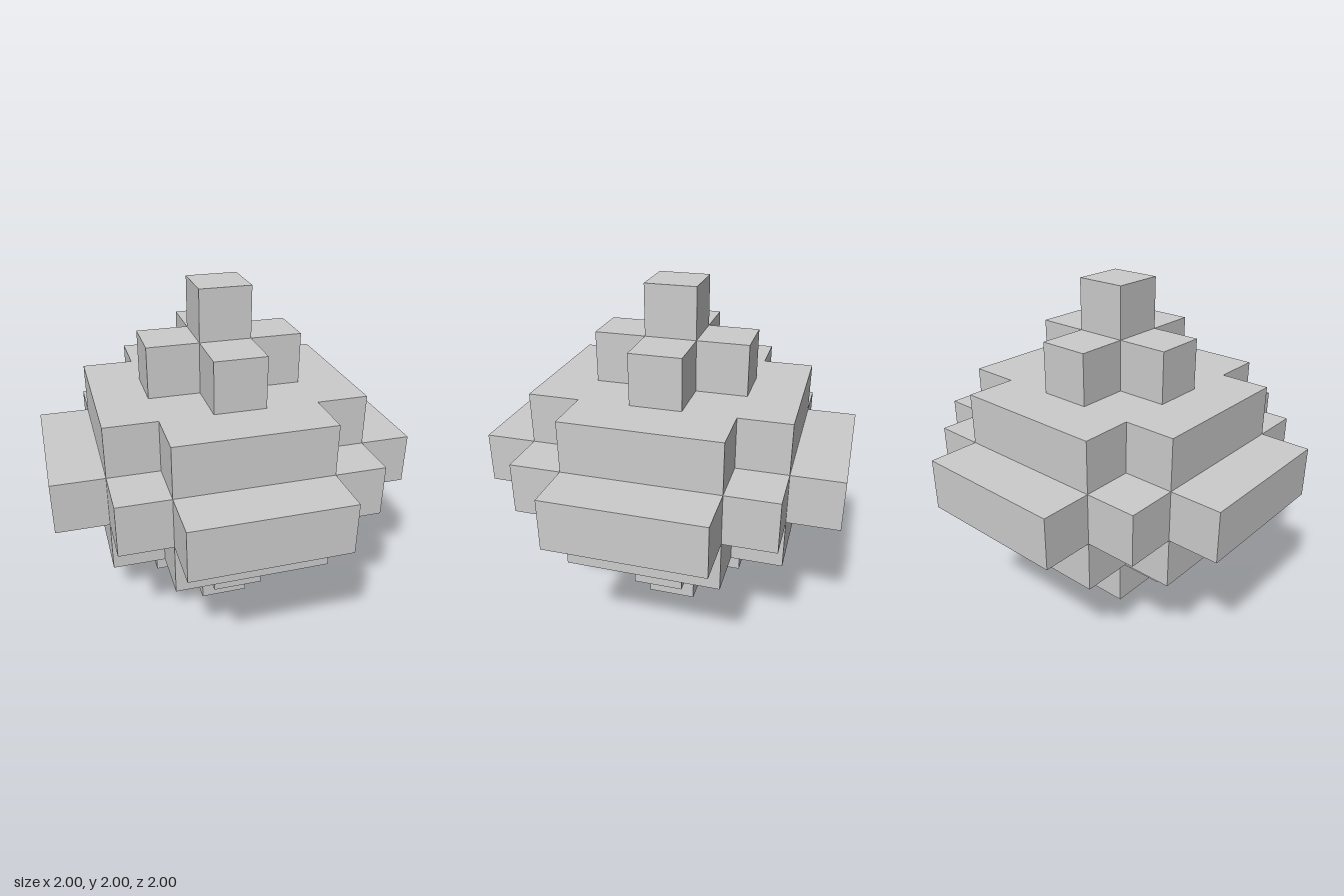
import * as THREE from 'three';

const U = 2 / 7; // edge of one block

// Corner points of one quadrant, in blocks; the outline repeats them four times
const tip = [[0.5, 0.5]];
const cross = [[1.5, 0.5], [0.5, 0.5], [0.5, 1.5]];
const slab = [[2.5, 1.5], [1.5, 1.5], [1.5, 2.5]];
const belt = [[3.5, 1.5], [2.5, 1.5], [2.5, 2.5], [1.5, 2.5], [1.5, 3.5]];

function layerGeometry(quadrant) {
  const outline = [];
  for (let q = 0; q < 4; q++) {
    for (let [x, y] of quadrant) {
      for (let i = 0; i < q; i++) [x, y] = [-y, x];
      outline.push(new THREE.Vector2(x * U, y * U));
    }
  }
  const geometry = new THREE.ExtrudeGeometry(new THREE.Shape(outline), { depth: U, bevelEnabled: false });
  return geometry.rotateX(-Math.PI / 2);
}

export function createModel() {
  const group = new THREE.Group();
  group.name = 'steppedBlockOrb';
  const material = new THREE.MeshStandardMaterial({ color: 0xcccccc, flatShading: true });

  // Seven layers, mirrored about the belt
  const layers = [
    ['bottomTip', tip], ['lowerCross', cross], ['lowerSlab', slab], ['belt', belt],
    ['upperSlab', slab], ['upperCross', cross], ['topTip', tip],
  ];
  layers.forEach(([name, quadrant], i) => {
    const mesh = new THREE.Mesh(layerGeometry(quadrant), material);
    mesh.name = name;
    mesh.position.y = i * U;
    group.add(mesh);
  });
  return group;
}
